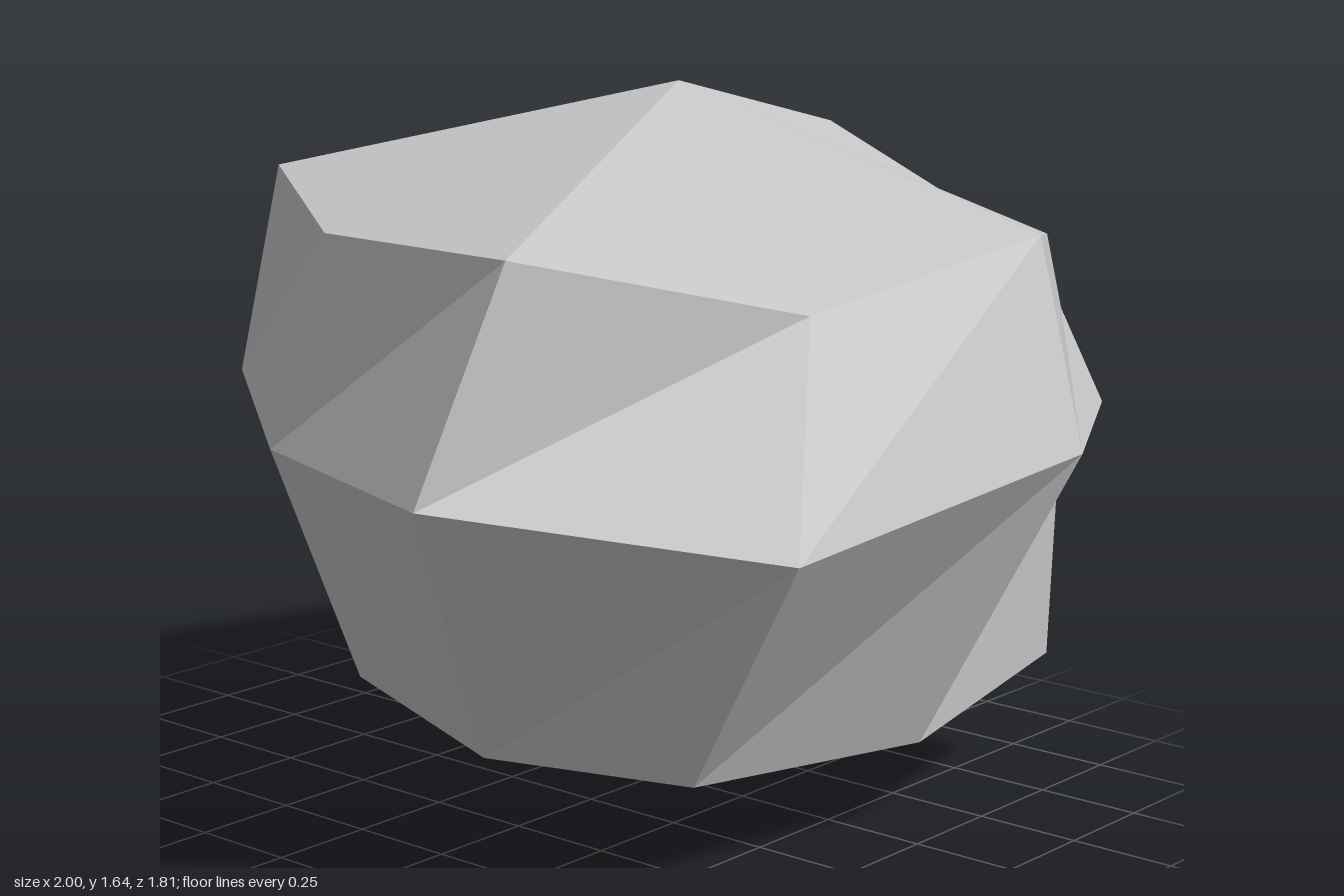
import * as THREE from 'three';

export function createModel() {
  const group = new THREE.Group();
  group.name = 'boulder';
  const stone = new THREE.MeshStandardMaterial({ color: 0xc4c4c4 });
  stone.name = 'pale stone grey';

  // Uneven rings, running from the back right corner round the front to the back left
  const peak = [-0.04, 1.64, -0.35];
  const foot = [0.08, 0, -0.28];
  const upper = [[-0.69, 1.36, -0.4], [-0.65, 1.46, 0.34], [-0.18, 1.385, 0.65],
    [0.38, 1.39, 0.69], [0.71, 1.24, 0.12], [0.81, 1.34, -0.58]];
  const middle = [[-1, 0.77, -0.61], [-0.89, 0.94, 0.25], [-0.31, 0.905, 0.7],
    [0.32, 0.9, 0.9], [0.93, 0.8, 0.43], [1, 0.89, -0.48]];
  const lower = [[-0.66, 0.3, -0.66], [-0.6, 0.3, 0], [-0.32, 0.33, 0.43],
    [0.15, 0.26, 0.52], [0.58, 0.24, 0.33], [0.7, 0.21, -0.32]];

  // Outline of the sliced back, clockwise from its top as seen from the front
  const rim = [[-0.025, 1.5], [0.305, 1.36], [0.61, 1.285], [0.655, 1.115], [0.775, 0.91],
    [0.66, 0.7], [0.645, 0.28], [0.135, 0.14], [-0.39, 0.295], [-0.765, 0.84],
    [-0.575, 1.09], [-0.58, 1.287]].map(([x, y]) => [x, y, -0.91]);
  const hub = [0.035, 0.85, -0.885];

  // Convex polygon as a fan of triangles
  const build = (name, polygons) => {
    const points = [];
    for (const p of polygons)
      for (let i = 1; i < p.length - 1; i++) points.push(...p[0], ...p[i], ...p[i + 1]);
    const geometry = new THREE.BufferGeometry();
    geometry.setAttribute('position', new THREE.Float32BufferAttribute(points, 3));
    geometry.computeVertexNormals();
    const mesh = new THREE.Mesh(geometry, stone);
    mesh.name = name;
    group.add(mesh);
  };

  // Facets of the rounded body
  const body = [];
  for (let i = 0; i < 5; i++) {
    const j = i + 1;
    body.push([peak, upper[i], upper[j]]);
    body.push([upper[i], middle[i], upper[j]], [middle[i], middle[j], upper[j]]);
    body.push([middle[i], lower[i], middle[j]], [lower[i], lower[j], middle[j]]);
    body.push([foot, lower[j], lower[i]]);
  }

  // Facets running from the last ring corners to the rim of the slice
  const [uL, mL, lL] = [upper[0], middle[0], lower[0]];
  const [uR, mR, lR] = [upper[5], middle[5], lower[5]];
  body.push(
    [peak, uR, rim[2], rim[1]], [peak, rim[1], rim[0]], [peak, rim[0], rim[11], uL],
    [mR, rim[3], rim[2], uR], [mR, rim[4], rim[3]],
    [lR, rim[5], rim[4], mR], [lR, rim[6], rim[5]],
    [foot, rim[7], rim[6], lR], [foot, lL, rim[8], rim[7]],
    [mL, rim[9], rim[8], lL], [uL, rim[10], rim[9], mL], [uL, rim[11], rim[10]],
  );
  build('boulderBody', body);

  // Nearly flat back slice
  build('backSlice', rim.map((p, i) => [hub, p, rim[(i + 1) % rim.length]]));
  return group;
}
